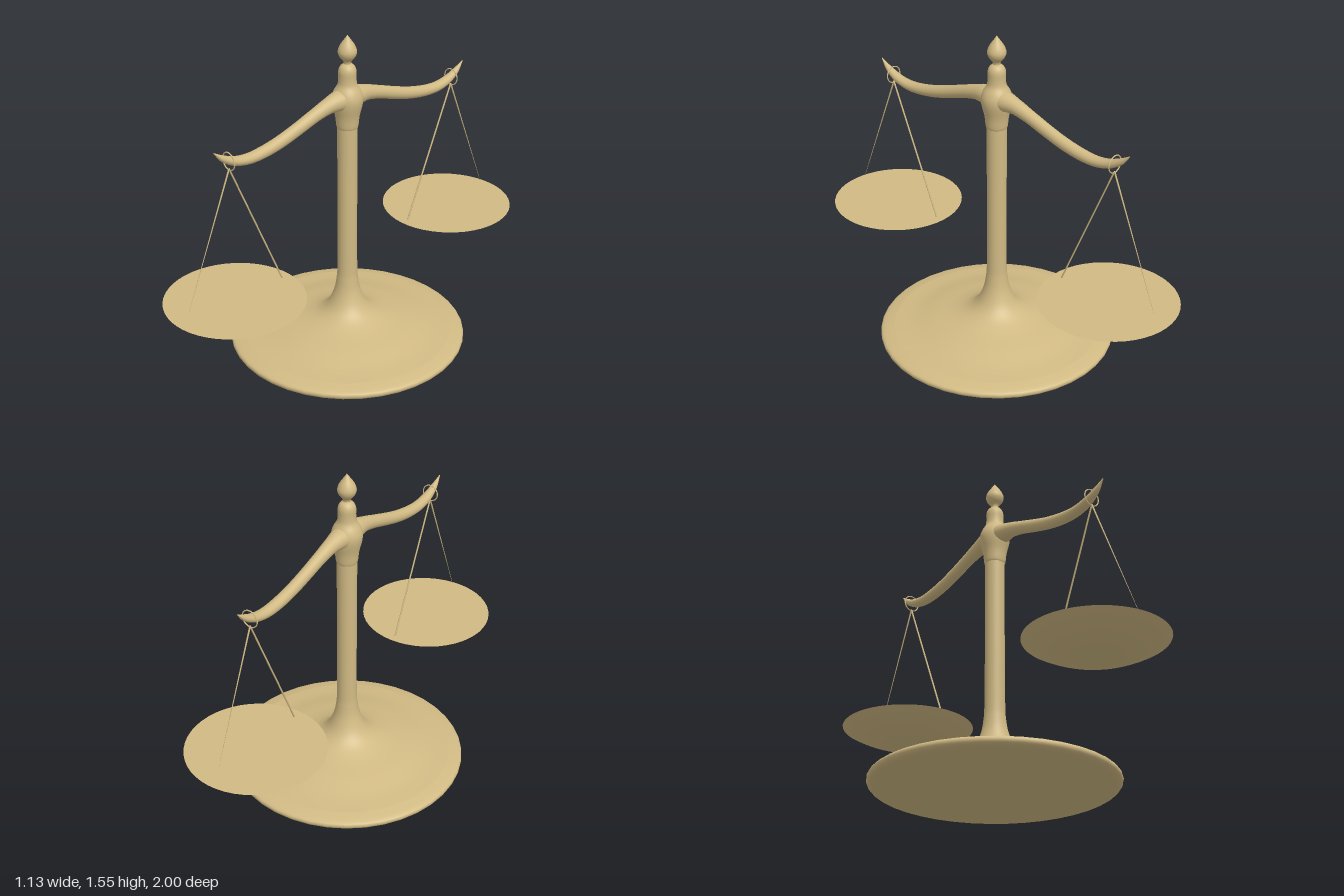
import * as THREE from 'three';

const brass = new THREE.MeshStandardMaterial({ color: 0xd0b983 });
brass.name = 'brass';

function add(parent, geometry, name) {
  const mesh = new THREE.Mesh(geometry, brass);
  mesh.name = name;
  parent.add(mesh);
  return mesh;
}

// Smooth turned part from a few [radius, height] points, bottom to top
function turned(points, samples, segments = 40) {
  const curve = new THREE.SplineCurve(points.map(p => new THREE.Vector2(...p)));
  const profile = curve.getPoints(samples);
  profile.forEach(p => { p.x = Math.max(p.x, 0); });
  return new THREE.LatheGeometry(profile, segments);
}

// Thin wire between two points, with its own radius at each end
function wire(a, b, ra, rb) {
  const dir = b.clone().sub(a);
  const g = new THREE.CylinderGeometry(rb, ra, dir.length(), 8);
  g.applyQuaternion(new THREE.Quaternion().setFromUnitVectors(
    new THREE.Vector3(0, 1, 0), dir.clone().normalize()));
  const mid = a.clone().add(b).multiplyScalar(0.5);
  return g.translate(mid.x, mid.y, mid.z);
}

// Curved arm: elliptical sections swept along +z, tapering to an upturned tip
function armGeometry() {
  // z, y, half height, half width
  const keys = [
    [0, 1.255, 0.05, 0.06], [0.06, 1.255, 0.046, 0.048], [0.12, 1.248, 0.036, 0.036],
    [0.2, 1.226, 0.031, 0.03], [0.3, 1.193, 0.03, 0.028], [0.4, 1.164, 0.029, 0.028],
    [0.5, 1.146, 0.027, 0.028], [0.58, 1.143, 0.024, 0.027], [0.65, 1.157, 0.021, 0.024],
    [0.71, 1.187, 0.015, 0.016], [0.758, 1.228, 0.001, 0.002],
  ];
  const path = new THREE.CatmullRomCurve3(keys.map(k => new THREE.Vector3(0, k[1], k[0])));
  const size = new THREE.CatmullRomCurve3(keys.map(k => new THREE.Vector3(k[2], k[3], 0)));
  const rings = 40, sides = 20, pos = [], index = [];
  for (let i = 0; i <= rings; i++) {
    const t = i / rings;
    const c = path.getPoint(t), d = path.getTangent(t), s = size.getPoint(t);
    for (let j = 0; j < sides; j++) {
      const a = j / sides * Math.PI * 2;
      const h = Math.sin(a) * s.x;
      pos.push(Math.cos(a) * s.y, c.y + h * d.z, c.z - h * d.y);
      if (i < rings) {
        const k = (j + 1) % sides, p = i * sides;
        index.push(p + j, p + k, p + sides + j, p + k, p + sides + k, p + sides + j);
      }
    }
  }
  const g = new THREE.BufferGeometry();
  g.setAttribute('position', new THREE.Float32BufferAttribute(pos, 3));
  g.setIndex(index);
  g.computeVertexNormals();
  return g;
}

export function createModel() {
  const model = new THREE.Group();
  model.name = 'balanceScale';

  // Foot disc with rounded rim, closed underneath
  add(model, turned([[0.52, 0], [0.552, 0.008], [0.565, 0.025], [0.555, 0.043], [0.5, 0.058]], 16), 'footRim');
  add(model, new THREE.CircleGeometry(0.52, 40).rotateX(Math.PI / 2), 'footUnderside');

  // Flared column
  add(model, turned([[0.5, 0.058], [0.41, 0.07], [0.31, 0.095], [0.21, 0.117], [0.14, 0.145],
    [0.095, 0.187], [0.066, 0.25], [0.052, 0.32], [0.047, 0.42], [0.046, 0.8], [0.047, 1.12]], 60), 'column');

  // Hub and collar where the arms meet the column
  add(model, turned([[0.044, 1.11], [0.05, 1.12], [0.056, 1.17], [0.069, 1.225], [0.071, 1.26],
    [0.062, 1.29], [0.045, 1.32], [0.041, 1.35], [0.041, 1.385], [0.033, 1.407], [0.017, 1.42]], 40), 'hub');

  // Pointed finial
  add(model, turned([[0.017, 1.42], [0.02, 1.433], [0.037, 1.455], [0.043, 1.478], [0.034, 1.505],
    [0.015, 1.533], [0, 1.554]], 30, 28), 'finial');

  // Two matching sides: arm, ring, wires and pan
  const arm = armGeometry();
  const bowl = [];
  for (let i = 0; i <= 12; i++) {
    const r = 0.319 * i / 12;
    bowl.push(new THREE.Vector2(r, 0.39 + 0.095 * (r / 0.319) ** 2));
  }
  const panBowl = new THREE.LatheGeometry(bowl, 48);
  const panTop = new THREE.CircleGeometry(0.319, 48).rotateX(-Math.PI / 2);
  const apex = new THREE.Vector3(0, 1.13, 0.68);
  for (const [name, turn] of [['frontSide', 0], ['backSide', Math.PI]]) {
    const side = new THREE.Group();
    side.name = name;
    side.rotation.y = turn;
    add(side, arm, 'arm');
    add(side, new THREE.TorusGeometry(0.04, 0.003, 8, 32), 'hangingRing').position.set(0, 1.165, 0.68);
    add(side, wire(apex, new THREE.Vector3(0, 0.483, 0.405), 0.004, 0.004), 'innerWire');
    add(side, wire(apex, new THREE.Vector3(0, 0.52, 0.932), 0.004, 0.0006), 'outerWire');
    add(side, panBowl, 'panBowl').position.z = 0.68;
    add(side, panTop, 'panTop').position.set(0, 0.485, 0.68);
    model.add(side);
  }
  return model;
}
